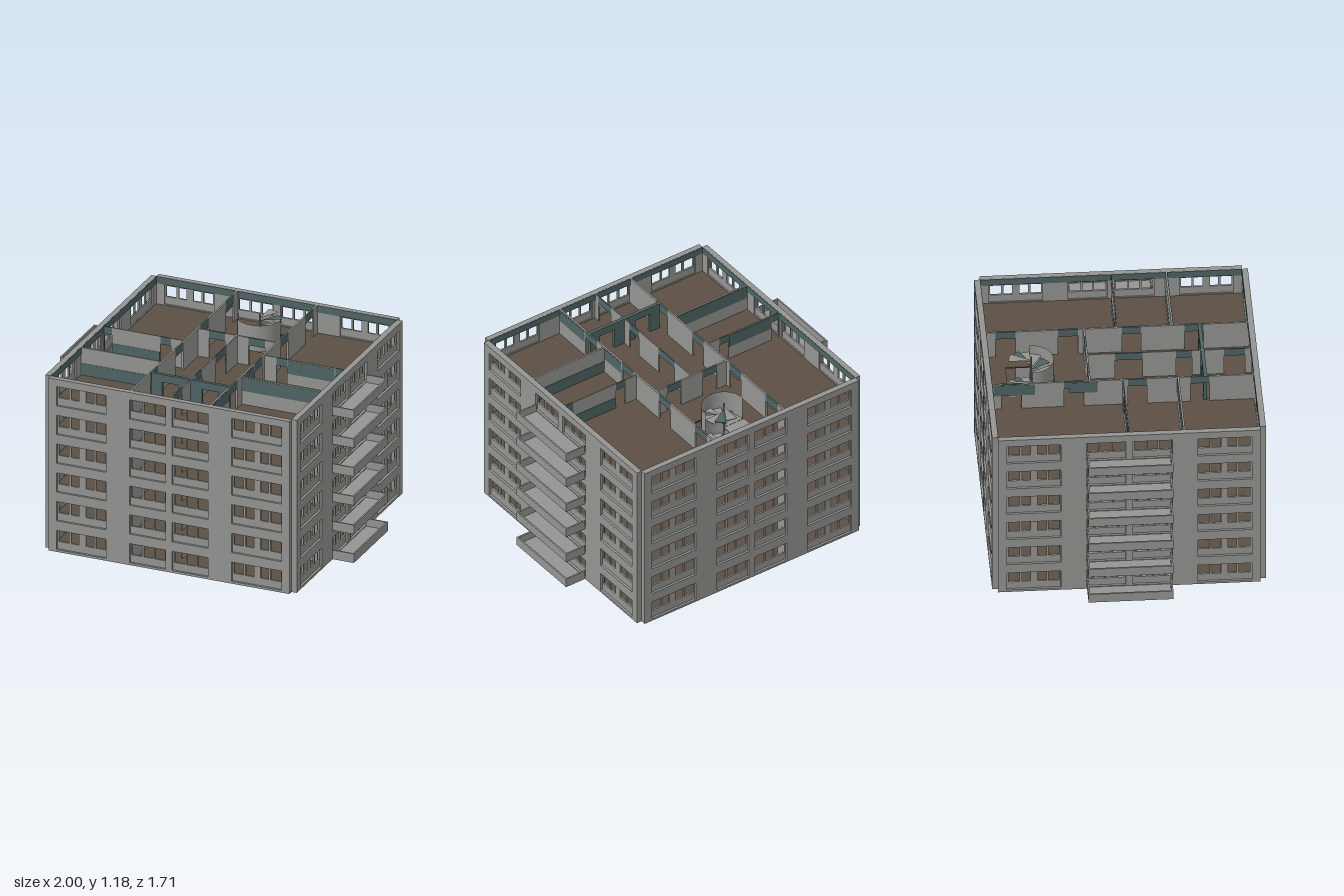
import * as THREE from 'three';

const mat = (name, color, side = THREE.FrontSide) => {
  const m = new THREE.MeshStandardMaterial({ color, side });
  m.name = name;
  return m;
};
const FLOORS = 6, PITCH = 0.1967, H = FLOORS * PITCH;
const IN = 0.82, OUT = 0.855;

export function createModel() {
  const concrete = mat('concrete grey', 0x949492);
  const stairGrey = mat('stair grey', 0x949491, THREE.DoubleSide);
  const teal = mat('dark teal', 0x4f6464);
  const brown = mat('brown floor', 0x5c5045);
  const model = new THREE.Group();
  model.name = 'apartmentBlock';

  const add = (parent, name, geo, m, x = 0, y = 0, z = 0) => {
    const mesh = new THREE.Mesh(geo, m);
    mesh.name = name;
    mesh.position.set(x, y, z);
    parent.add(mesh);
    return mesh;
  };
  // box given by its minimum and maximum corners
  const box = (parent, name, m, x0, x1, y0, y1, z0, z1) =>
    add(parent, name, new THREE.BoxGeometry(x1 - x0, y1 - y0, z1 - z0), m,
      (x0 + x1) / 2, (y0 + y1) / 2, (z0 + z1) / 2);
  const rect = (C, x0, x1, y0, y1) => {
    const p = new C();
    p.moveTo(x0, y0); p.lineTo(x1, y0); p.lineTo(x1, y1); p.lineTo(x0, y1); p.closePath();
    return p;
  };
  const extrude = (shape, depth) => new THREE.ExtrudeGeometry(shape, { depth, bevelEnabled: false });

  // window bays: outline and panes, mirrored about the wall centre
  const bays = [
    { x: [0.428, 0.765], panes: [[0.437, 0.503], [0.516, 0.572], [0.618, 0.67], [0.685, 0.755]] },
    { x: [0.023, 0.268], panes: [[0.032, 0.104], [0.114, 0.177], [0.19, 0.26]] },
  ];
  const flip = ([a, b]) => [-b, -a];
  const allBays = bays.concat(bays.map(b => ({ x: flip(b.x), panes: b.panes.map(flip) })));

  const facadeShape = rect(THREE.Shape, -IN, IN, 0, H);
  for (let f = 0; f < FLOORS; f++)
    for (const b of allBays)
      facadeShape.holes.push(rect(THREE.Path, ...b.x, f * PITCH + 0.015, f * PITCH + 0.147));
  const facadeGeo = extrude(facadeShape, OUT - IN);
  const bayGeos = allBays.map(b => {
    const s = rect(THREE.Shape, ...b.x, 0.015, 0.147);
    b.panes.forEach(p => s.holes.push(rect(THREE.Path, ...p, 0.066, 0.139)));
    return extrude(s, 0.012);
  });

  // four outer walls with recessed window panels
  ['front', 'left', 'back', 'right'].forEach((side, k) => {
    const g = new THREE.Group();
    g.name = side + 'Facade';
    add(g, 'outerWall', facadeGeo, concrete, 0, 0, IN);
    for (let f = 0; f < FLOORS; f++) {
      bayGeos.forEach(geo => add(g, 'windowPanel', geo, concrete, 0, f * PITCH, IN + 0.008));
      box(g, 'innerBand', teal, -IN, IN, f * PITCH + 0.15, (f + 1) * PITCH - 0.001, IN - 0.004, IN);
    }
    g.rotation.y = k * Math.PI / 2;
    model.add(g);
  });

  // floor slab with the stair opening
  const slabShape = rect(THREE.Shape, -IN, IN, -IN, IN);
  slabShape.holes.push(rect(THREE.Path, -0.15, 0.15, 0.41, 0.705));
  const slabGeo = extrude(slabShape, 0.008).rotateX(-Math.PI / 2);

  // partition along x or z, with door openings under teal lintels
  const partition = (g, axis, at, from, to, t, doors, m = concrete) => {
    const piece = (a, b, y0, y1, mm, name) => axis === 'x'
      ? box(g, name, mm, a, b, y0, y1, at - t / 2, at + t / 2)
      : box(g, name, mm, at - t / 2, at + t / 2, y0, y1, a, b);
    let p = from;
    for (const [a, b] of doors) {
      if (a > p) piece(p, a, 0.008, PITCH, m, 'partition');
      piece(a, b, 0.145, PITCH, teal, 'doorLintel');
      p = b;
    }
    if (to > p) piece(p, to, 0.008, PITCH, m, 'partition');
  };

  const storey = new THREE.Group();
  add(storey, 'floorSlab', slabGeo, brown);
  for (const s of [1, -1]) {
    const mir = list => (s > 0 ? list : list.map(flip).reverse());
    const [a, b] = mir([[0.276, IN]])[0];
    partition(storey, 'z', s * 0.27, -IN, IN, 0.012,
      [[-0.76, -0.635], [-0.37, -0.245], [0.03, 0.15], [0.42, 0.54]]);
    partition(storey, 'x', 0.345, a, b, 0.012, []);
    partition(storey, 'x', 0, a, b, 0.007, mir([[0.36, 0.43], [0.76, 0.815]]));
  }
  const hallDoors = [[-0.192, -0.08], [0.08, 0.192]];
  partition(storey, 'x', -0.207, -0.264, 0.264, 0.012, hallDoors);
  partition(storey, 'x', 0.515, -0.264, 0.264, 0.022, hallDoors, teal);
  partition(storey, 'z', 0, -0.2, IN, 0.007, [[-0.03, 0.14], [0.35, 0.45], [0.65, 0.78]]);

  // teal paint: upper half on one side of the house, lower half on the other
  for (const [z, t, x0, x1] of [[0.345, 0.006, 0.28, 0.815], [0, 0.0035, 0.435, 0.755]])
    for (const face of [1, -1])
      for (const s of [1, -1]) {
        const [y0, y1] = s * face > 0 ? [0.1, 0.19] : [0.01, 0.09];
        const [a, b] = s > 0 ? [x0, x1] : [-x1, -x0];
        const zc = z + face * (t + 0.001);
        box(storey, 'wallPaint', teal, a, b, y0, y1, zc - 0.001, zc + 0.001);
      }
  for (const s of [1, -1])
    for (const [z0, z1] of [[0.16, 0.335], [0.55, 0.81]]) {
      const [a, b] = s > 0 ? [z0, z1] : [-z1, -z0], xc = s * 0.277;
      box(storey, 'wallPaint', teal, xc - 0.001, xc + 0.001, 0.11, 0.19, a, b);
    }

  // spiral stair: landing, winding treads, post and curved screen
  const stair = new THREE.Group();
  stair.name = 'spiralStair';
  stair.position.z = -0.556;
  box(stair, 'landing', stairGrey, -0.15, 0, 0, 0.008, -0.149, 0);
  const step = Math.PI / 6;
  for (let i = 0; i < 9; i++)
    add(stair, 'tread', new THREE.CylinderGeometry(0.14, 0.14, 0.005, 3, 1, false,
      Math.PI * 1.5 + i * step, step), i % 3 === 1 ? teal : stairGrey, 0, 0.012 + i * 0.0197, 0);
  add(stair, 'post', new THREE.CylinderGeometry(0.006, 0.006, PITCH, 8), stairGrey, 0, PITCH / 2, 0);
  add(stair, 'curvedScreen', new THREE.CylinderGeometry(0.142, 0.142, 0.18, 16, 1, true,
    Math.PI * 1.5, Math.PI), stairGrey, 0, 0.09, 0);
  storey.add(stair);

  // balconies: slab with a thin parapet on three sides
  for (const s of [1, -1]) {
    const g = new THREE.Group();
    g.name = s > 0 ? 'leftBalcony' : 'rightBalcony';
    box(g, 'balconyFloor', concrete, OUT, 1, 0, 0.01, -0.265, 0.265);
    box(g, 'balconyFront', concrete, 0.99, 1, 0.01, 0.062, -0.265, 0.265);
    box(g, 'balconyEnd', concrete, OUT, 0.99, 0.01, 0.062, 0.255, 0.265);
    box(g, 'balconyEnd', concrete, OUT, 0.99, 0.01, 0.062, -0.265, -0.255);
    if (s < 0) g.rotation.y = Math.PI;
    storey.add(g);
  }

  for (let f = 0; f < FLOORS; f++) {
    const copy = storey.clone();
    copy.name = 'storey' + (f + 1);
    copy.position.y = f * PITCH;
    model.add(copy);
  }
  return model;
}
